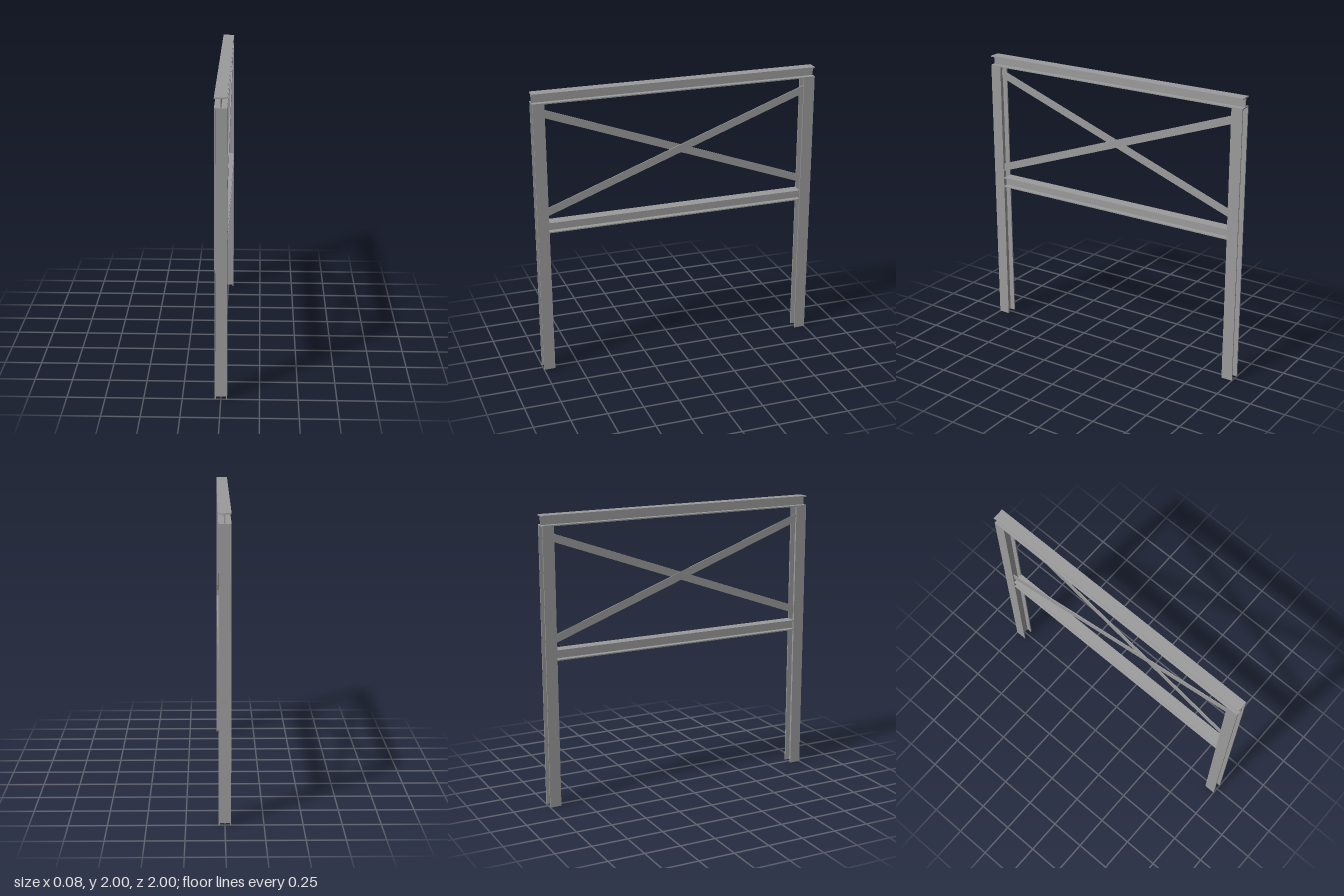
import * as THREE from 'three';

const WIDTH = 0.08;       // flange width, and depth of the columns
const BEAM_DEPTH = 0.073; // depth of the horizontal beams
const FLANGE = 0.008;     // flange thickness
const WEB = 0.008;        // web thickness

const steel = new THREE.MeshStandardMaterial({ color: 0x9b9b9b, flatShading: true });

// I-section with flanges at top and bottom, extruded along z and centred
function iBeam(name, length, depth) {
  const x = WIDTH / 2, y = depth / 2, w = WEB / 2, f = y - FLANGE;
  const half = [[x, -y], [x, -f], [w, -f], [w, f], [x, f], [x, y]];
  const mirrored = half.map(([px, py]) => [-px, -py]);
  const shape = new THREE.Shape([...half, ...mirrored].map(([px, py]) => new THREE.Vector2(px, py)));
  const geo = new THREE.ExtrudeGeometry(shape, { depth: length, bevelEnabled: false });
  geo.translate(0, 0, -length / 2);
  const mesh = new THREE.Mesh(geo, steel);
  mesh.name = name;
  return mesh;
}

// Flat diagonal bar running from web to web, against the inside of the column flanges
function braceBar(name, turn) {
  const end = 1 - WIDTH / 2 - WEB / 2, low = 1.136, high = 1.832, depth = 0.056, thick = 0.007;
  const shape = new THREE.Shape([
    new THREE.Vector2(-end, low), new THREE.Vector2(end, high),
    new THREE.Vector2(end, high + depth), new THREE.Vector2(-end, low + depth),
  ]);
  const geo = new THREE.ExtrudeGeometry(shape, { depth: thick, bevelEnabled: false });
  geo.translate(0, 0, WIDTH / 2 - FLANGE - thick);
  geo.rotateY(Math.PI / 2);
  const mesh = new THREE.Mesh(geo, steel);
  mesh.name = name;
  mesh.rotation.y = turn;
  return mesh;
}

export function createModel() {
  const model = new THREE.Group();
  model.name = 'bracedFrame';

  // Columns, flanges facing sideways
  const columnHeight = 2 - BEAM_DEPTH;
  for (const [name, side] of [['frontColumn', 1], ['backColumn', -1]]) {
    const column = iBeam(name, columnHeight, WIDTH);
    column.geometry.rotateZ(Math.PI / 2).rotateX(Math.PI / 2);
    column.position.set(0, columnHeight / 2, side * (1 - WIDTH / 2));
    model.add(column);
  }

  // Top beam over the columns, middle beam between them
  const topBeam = iBeam('topBeam', 2, BEAM_DEPTH);
  topBeam.position.y = 2 - BEAM_DEPTH / 2;
  const middleBeam = iBeam('middleBeam', 2 * (1 - WIDTH), BEAM_DEPTH);
  middleBeam.position.y = 1.063;
  model.add(topBeam, middleBeam);

  // Crossed bracing, the second bar half a turn from the first
  model.add(braceBar('leftBrace', 0), braceBar('rightBrace', Math.PI));
  return model;
}
